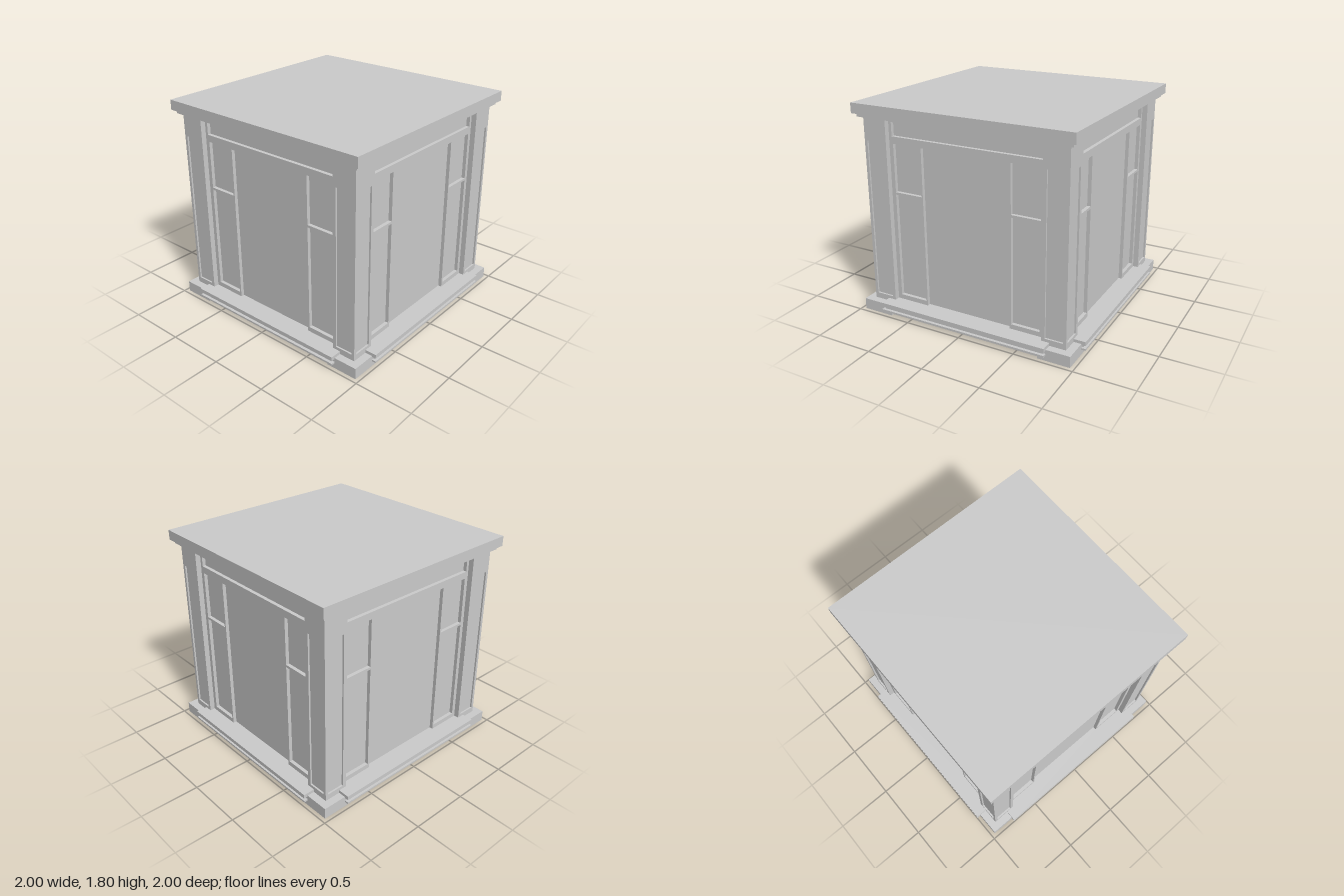
import * as THREE from 'three';

const material = new THREE.MeshStandardMaterial({ color: 0xcccccc, flatShading: true });

function add(parent, name, geometry) {
  const mesh = new THREE.Mesh(geometry, material);
  mesh.name = name;
  parent.add(mesh);
  return mesh;
}

// Box given by its minimum and maximum corners
function box(parent, name, [x0, y0, z0], [x1, y1, z1]) {
  const mesh = add(parent, name, new THREE.BoxGeometry(x1 - x0, y1 - y0, z1 - z0));
  mesh.position.set((x0 + x1) / 2, (y0 + y1) / 2, (z0 + z1) / 2);
}

function trace(path, [x0, y0, x1, y1]) {
  path.moveTo(x0, y0);
  path.lineTo(x1, y0);
  path.lineTo(x1, y1);
  path.lineTo(x0, y1);
  path.closePath();
  return path;
}

// Flat plate facing +z with rectangular openings; rectangles are [x0, y0, x1, y1]
function plate(parent, name, outline, openings, back, front) {
  const shape = trace(new THREE.Shape(), outline);
  shape.holes = openings.map((r) => trace(new THREE.Path(), r));
  const geometry = new THREE.ExtrudeGeometry(shape, { depth: front - back, bevelEnabled: false });
  geometry.translate(0, 0, back);
  add(parent, name, geometry);
}

const flip = ([x0, y0, x1, y1]) => [-x1, y0, -x0, y1];

function createSide() {
  const side = new THREE.Group();
  side.name = 'side';

  // Wall frame around the sign panel, centre bay and side windows
  const windows = [[0.405, 0.16, 0.655, 1.06], [0.405, 1.08, 0.655, 1.485]];
  plate(side, 'wallFrame', [-0.69, 0.1, 0.69, 1.7], [
    [-0.665, 1.545, 0.665, 1.66],
    [-0.39, 0.11, 0.39, 1.485],
    ...windows,
    ...windows.map(flip),
  ], 0.825, 0.855);

  // Raised borders on the corner pillars
  const border = [0.69, 0.09, 0.9, 1.7];
  const panel = [0.72, 0.145, 0.875, 1.495];
  plate(side, 'pillarBorder', border, [panel], 0.885, 0.9);
  plate(side, 'pillarBorder', flip(border), [flip(panel)], 0.885, 0.9);

  // Sill built from two ledges with a recessed neck
  box(side, 'sillTop', [-0.76, 0.085, 0.8], [0.76, 0.12, 1]);
  box(side, 'sillNeck', [-0.74, 0.06, 0.8], [0.74, 0.085, 0.975]);
  box(side, 'sillLower', [-0.76, 0.045, 0.8], [0.76, 0.06, 1]);
  return side;
}

export function createModel() {
  const model = new THREE.Group();
  model.name = 'kiosk';

  // Solid body behind the frames, base and roof
  box(model, 'innerWalls', [-0.825, 0.05, -0.825], [0.825, 1.7, 0.825]);
  box(model, 'base', [-0.94, 0, -0.94], [0.94, 0.09, 0.94]);
  box(model, 'soffit', [-0.935, 1.69, -0.935], [0.935, 1.72, 0.935]);
  box(model, 'roof', [-0.965, 1.72, -0.965], [0.965, 1.805, 0.965]);

  // Four matching sides, each with one corner pillar and plinth
  for (let i = 0; i < 4; i++) {
    const side = createSide();
    box(side, 'pillar', [0.69, 0.09, 0.69], [0.885, 1.7, 0.885]);
    box(side, 'plinth', [0.69, 0, 0.69], [0.965, 0.095, 0.965]);
    side.rotation.y = (i * Math.PI) / 2;
    model.add(side);
  }
  return model;
}
